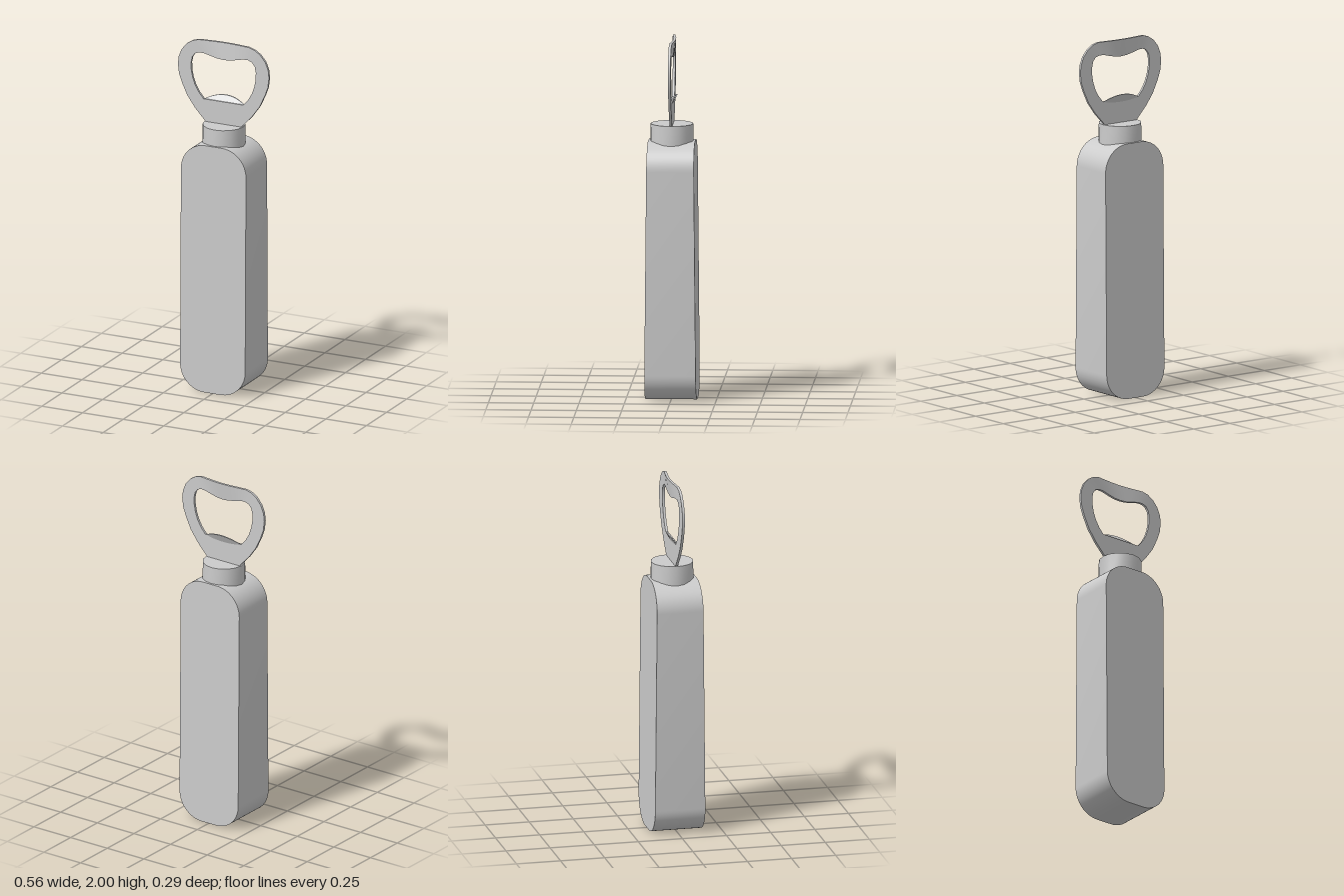
import * as THREE from 'three';
import { toCreasedNormals } from 'three/addons/utils/BufferGeometryUtils.js';

const material = new THREE.MeshStandardMaterial({ color: 0xcccccc });

// Skin between successive four-cornered cross-sections.
function loft(sections, closed) {
  const pos = [];
  const n = sections.length;
  for (let i = 0; i < (closed ? n : n - 1); i++) {
    const s = sections[i], t = sections[(i + 1) % n];
    for (let j = 0; j < 4; j++) {
      const k = (j + 1) % 4;
      pos.push(...s[j], ...s[k], ...t[k], ...s[j], ...t[k], ...t[j]);
    }
  }
  const g = new THREE.BufferGeometry();
  g.setAttribute('position', new THREE.Float32BufferAttribute(pos, 3));
  return toCreasedNormals(g, 0.6);
}

// Rounded grip, thinner towards the top.
function gripGeometry() {
  const w = 0.2, h = 1.435, r = 0.15;
  const s = new THREE.Shape();
  s.moveTo(-w + r, 0);
  s.lineTo(w - r, 0);
  s.absarc(w - r, r, r, -Math.PI / 2, 0);
  s.lineTo(w, h - r);
  s.absarc(w - r, h - r, r, 0, Math.PI / 2);
  s.lineTo(-w + r, h);
  s.absarc(-w + r, h - r, r, Math.PI / 2, Math.PI);
  s.lineTo(-w, r);
  s.absarc(-w + r, r, r, Math.PI, Math.PI * 1.5);
  const g = new THREE.ExtrudeGeometry(s, { depth: 2, bevelEnabled: false, curveSegments: 8 });
  const p = g.attributes.position;
  for (let i = 0; i < p.count; i++) {
    p.setZ(i, (p.getZ(i) - 1) * (0.143 - 0.013 * p.getY(i) / h));
  }
  return toCreasedNormals(g, 0.6);
}

// Flat opener ring whose top edge bows backwards in the middle.
function ringGeometry() {
  // Right half, top to bottom: outer x, outer y, inner x, inner y.
  const half = [
    [0, 2, 0, 1.903], [0.05, 2, 0.04, 1.906], [0.1, 2, 0.08, 1.915],
    [0.155, 2, 0.12, 1.925], [0.19, 1.99, 0.15, 1.926], [0.225, 1.968, 0.175, 1.917],
    [0.257, 1.93, 0.192, 1.895], [0.275, 1.885, 0.199, 1.862], [0.28, 1.84, 0.198, 1.82],
    [0.273, 1.785, 0.19, 1.777], [0.255, 1.735, 0.175, 1.735], [0.222, 1.665, 0.152, 1.695],
    [0.175, 1.6, 0.122, 1.66], [0.11, 1.53, 0.08, 1.66], [0.08, 1.5, 0.04, 1.66], [0, 1.5, 0, 1.66],
  ];
  const left = half.slice(1, -1).reverse().map(([a, b, c, d]) => [-a, b, -c, d]);
  const bend = (x, y, z) => {
    const across = 0.5 + 0.5 * Math.cos(Math.PI * Math.min(1, Math.abs(x) / 0.21));
    const up = THREE.MathUtils.clamp((y - 1.86) / 0.14, 0, 1);
    return [x, y, z - 0.016 * across * up];
  };
  const t = 0.007;
  return loft([...half, ...left].map(([ox, oy, ix, iy]) =>
    [bend(ox, oy, t), bend(ix, iy, t), bend(ix, iy, -t), bend(ox, oy, -t)]), true);
}

// Curved lip pressed backwards from the lower edge of the opening.
function lipGeometry() {
  const sections = [];
  for (let i = 0; i <= 16; i++) {
    const x = -0.12 + 0.015 * i;
    const k = 1 - (x / 0.12) ** 2;
    const y = 1.66 + 0.032 * k;
    sections.push([
      [x, y, -0.004 - 0.019 * k], [x, 1.657, 0.003],
      [x, 1.657 - 0.012 * k, -0.0065], [x, y, -0.006 - 0.025 * k],
    ]);
  }
  return loft(sections, false);
}

export function createModel() {
  const group = new THREE.Group();
  const add = (name, geometry, y = 0) => {
    const mesh = new THREE.Mesh(geometry, material);
    mesh.name = name;
    mesh.position.y = y;
    group.add(mesh);
  };
  add('grip', gripGeometry());
  add('collar', toCreasedNormals(new THREE.CylinderGeometry(0.118, 0.121, 0.17, 16), 0.6), 1.445);
  add('openerRing', ringGeometry());
  add('openerLip', lipGeometry());
  return group;
}
